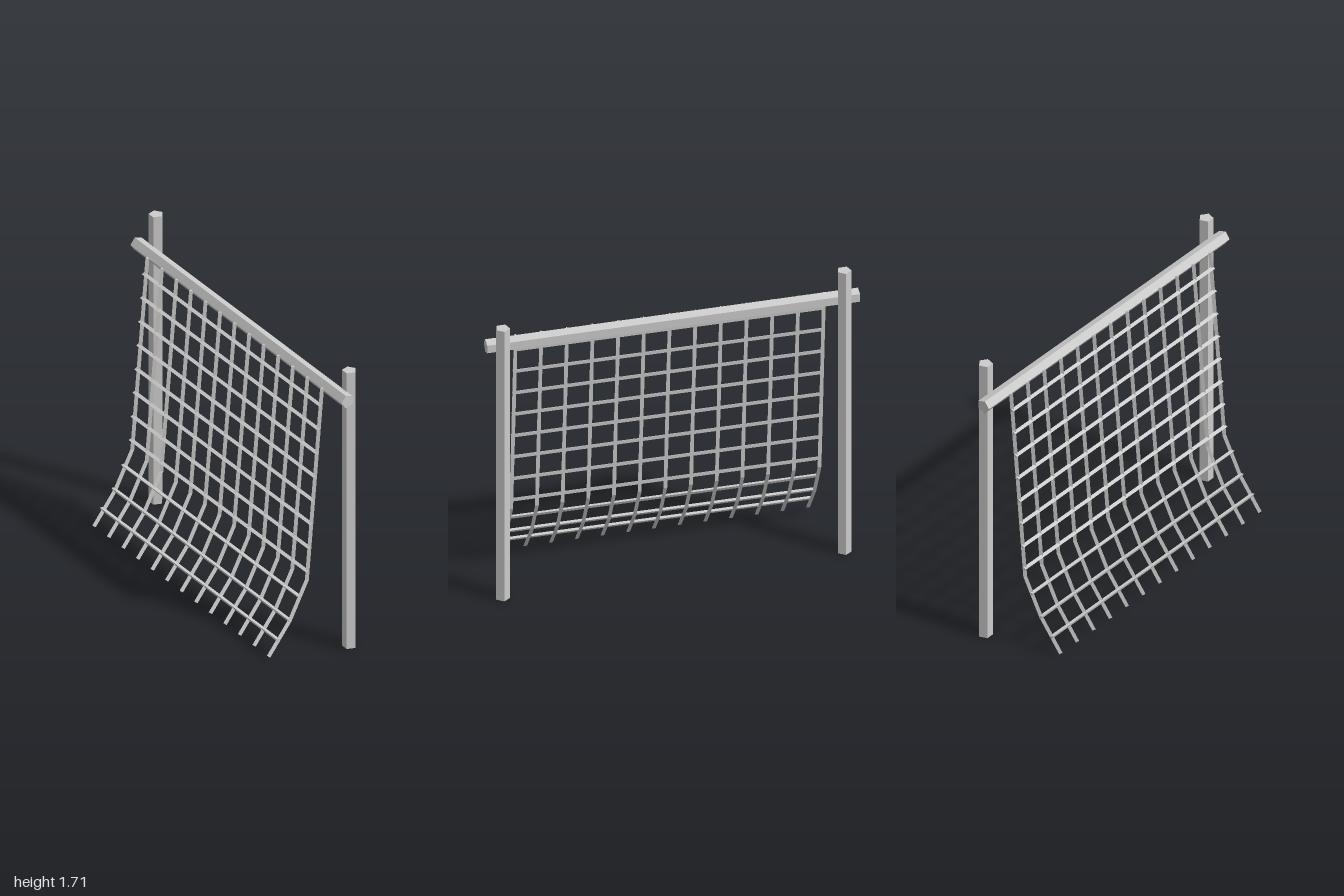
import * as THREE from 'three';

const material = new THREE.MeshStandardMaterial({ color: 0xcccccc, flatShading: true });

// Triangular rope swept along a path; one corner points along each given normal.
function ropeGeometry(path, normals, radius) {
  const sides = 3;
  const rings = path.map((p, i) => {
    const before = path[Math.max(i - 1, 0)];
    const after = path[Math.min(i + 1, path.length - 1)];
    const n = normals[i];
    const u = after.clone().sub(before).cross(n).normalize();
    return Array.from({ length: sides }, (_, k) => {
      const a = (k / sides) * Math.PI * 2;
      return p.clone().addScaledVector(n, Math.cos(a) * radius).addScaledVector(u, Math.sin(a) * radius);
    });
  });
  const points = [];
  for (let i = 0; i < rings.length - 1; i++) {
    for (let j = 0; j < sides; j++) {
      const k = (j + 1) % sides;
      const [a, b, c, d] = [rings[i][j], rings[i][k], rings[i + 1][k], rings[i + 1][j]];
      points.push(a, b, c, a, c, d);
    }
  }
  const [s, e] = [rings[0], rings[rings.length - 1]];
  points.push(s[0], s[2], s[1], e[0], e[1], e[2]);
  const geometry = new THREE.BufferGeometry().setFromPoints(points);
  geometry.computeVertexNormals();
  return geometry;
}

// Five-sided timber, standing on its own axis
function timber(name, radius, length, start) {
  const mesh = new THREE.Mesh(new THREE.CylinderGeometry(radius, radius, length, 5, 1, false, start), material);
  mesh.name = name;
  return mesh;
}

// Side profile of the hanging net, from the ground up
const profile = [[-0.236, 0.025], [-0.104, 0.2], [0.002, 0.41], [0.096, 1.52]].map(([x, y]) => new THREE.Vector2(x, y));

function segmentNormal(i) {
  const t = profile[i + 1].clone().sub(profile[i]).normalize();
  return new THREE.Vector3(-t.y, t.x, 0);
}

// Mitred normals at the bends
const last = profile.length - 1;
const profileNormals = profile.map((_, i) => {
  const a = segmentNormal(Math.max(i - 1, 0));
  const b = segmentNormal(Math.min(i, last - 1));
  const n = a.clone().add(b).normalize();
  return n.divideScalar(n.dot(a));
});

export function createModel() {
  const group = new THREE.Group();
  group.name = 'climbingNet';

  // Two posts of unequal height
  for (const [name, z, height] of [['frontPost', 0.925, 1.64], ['backPost', -0.907, 1.71]]) {
    const post = timber(name, 0.039, height, Math.PI / 2);
    post.position.set(0.203, height / 2, z);
    group.add(post);
  }

  // Crossbeam, slightly higher at the back
  const beam = timber('crossbeam', 0.039, 2, -Math.PI / 2);
  beam.rotation.x = Math.PI / 2 + 0.003;
  beam.position.set(0.144, 1.508, 0);
  group.add(beam);

  const net = new THREE.Group();
  net.name = 'net';
  group.add(net);

  // Hanging ropes
  for (let i = 0; i < 13; i++) {
    const z = 0.828 - i * 0.1378;
    const path = profile.map(p => new THREE.Vector3(p.x, p.y, z));
    const rope = new THREE.Mesh(ropeGeometry(path, profileNormals, 0.0118), material);
    rope.name = 'hangingRope';
    net.add(rope);
  }

  // Cross ropes, set slightly towards the outer face
  for (const y of [0.105, 0.2, 0.322, 0.461, 0.597, 0.736, 0.872, 1.01, 1.147, 1.285, 1.423]) {
    let i = 0;
    while (y > profile[i + 1].y) i++;
    const [a, b] = [profile[i], profile[i + 1]];
    const n = segmentNormal(i);
    const x = a.x + (b.x - a.x) * (y - a.y) / (b.y - a.y);
    const path = [-0.838, 0.835].map(z => new THREE.Vector3(x, y, z).addScaledVector(n, 0.007));
    const rope = new THREE.Mesh(ropeGeometry(path, [n, n], 0.0115), material);
    rope.name = 'crossRope';
    net.add(rope);
  }

  return group;
}
